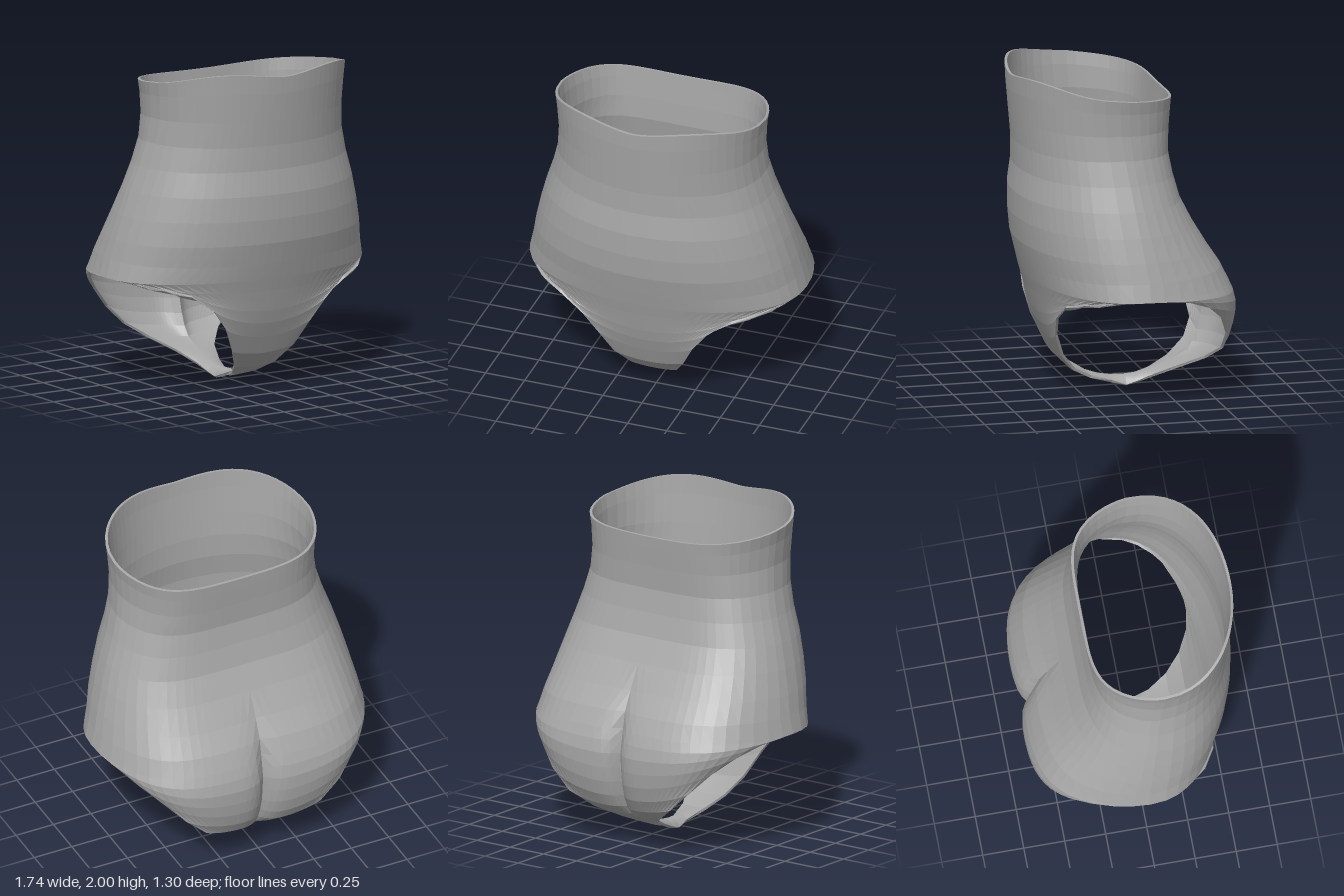
import * as THREE from 'three';
import { mergeVertices } from 'three/addons/utils/BufferGeometryUtils.js';

const COLS = 34;
const THICKNESS = 0.016;

// Torso rings: side seam [y, x, z], front centre [y, z], back centre [y, z], cleft depth
const torso = [
  [1.92, 0.655, 0.13, 1.97, 0.65, 1.86, -0.275, 0],
  [1.84, 0.643, 0.13, 1.87, 0.645, 1.79, -0.27, 0],
  [1.7, 0.635, 0.12, 1.71, 0.63, 1.67, -0.26, 0],
  [1.55, 0.65, 0.1, 1.55, 0.615, 1.53, -0.253, 0],
  [1.4, 0.69, 0.08, 1.4, 0.612, 1.39, -0.278, 0],
  [1.25, 0.74, 0.06, 1.25, 0.63, 1.25, -0.315, 0],
  [1.1, 0.783, 0.04, 1.1, 0.627, 1.1, -0.39, 0],
  [0.95, 0.82, 0.02, 0.95, 0.61, 0.95, -0.48, 0.015],
  [0.83, 0.845, 0.0, 0.82, 0.577, 0.83, -0.56, 0.04],
  [0.72, 0.87, 0.0, 0.72, 0.55, 0.73, -0.61, 0.07],
];

// Rows below the hip: leg edge [x, y, z], centre [y, z], arc angle, cleft depth
const frontLeg = [
  [0.8, 0.705, 0.235, 0.64, 0.527, 1.17, 0],
  [0.68, 0.685, 0.355, 0.575, 0.51, 0.9, 0],
  [0.54, 0.65, 0.435, 0.51, 0.493, 0.8, 0],
  [0.4, 0.54, 0.465, 0.43, 0.468, 0.8, 0],
  [0.3, 0.41, 0.445, 0.34, 0.432, 0.8, 0],
  [0.22, 0.26, 0.385, 0.23, 0.385, 0.8, 0],
  [0.145, 0.145, 0.29, 0.13, 0.285, 0.8, 0],
  [0.085, 0.075, 0.17, 0.07, 0.165, 0.8, 0],
  [0.048, 0.03, 0.03, 0.052, 0.03, 0.8, 0],
  [0.048, 0.005, -0.06, 0.05, -0.06, 0.8, 0],
];
const backLeg = [
  [0.86, 0.715, -0.11, 0.66, -0.638, 1.43, 0.085],
  [0.82, 0.695, -0.25, 0.58, -0.656, 1.24, 0.09],
  [0.745, 0.635, -0.395, 0.49, -0.656, 1.1, 0.095],
  [0.64, 0.54, -0.5, 0.4, -0.646, 1, 0.095],
  [0.51, 0.405, -0.57, 0.31, -0.622, 0.95, 0.095],
  [0.38, 0.285, -0.575, 0.235, -0.58, 0.9, 0.085],
  [0.25, 0.195, -0.5, 0.175, -0.5, 0.9, 0.05],
  [0.135, 0.12, -0.37, 0.13, -0.375, 0.8, 0.01],
  [0.077, 0.06, -0.23, 0.08, -0.23, 0.8, 0],
  [0.055, 0.022, -0.13, 0.055, -0.13, 0.8, 0],
  [0.048, 0.005, -0.06, 0.05, -0.06, 0.8, 0],
];

// Depth of the cross-section at a relative width t: rounded belly, flatter back
const depth = (t, isBack) => (isBack
  ? Math.max(0, 1 - Math.abs(t) ** 4.5) ** 0.62
  : Math.max(0, 1 - t * t) ** 0.44);

// One half of the garment: arcs stacked from the waist to the crotch
function addPanel(rows, isBack, positions, indices) {
  const base = positions.length / 3;
  rows.forEach(([ex, ey, ez, cy, cz, arc, cleft], j) => {
    const edgeT = Math.sin(arc), edgeDepth = depth(edgeT, isBack);
    for (let i = 0; i <= COLS; i++) {
      // Columns gather towards the middle
      const s = (i / COLS) * 2 - 1, u = s * (0.7 + 0.3 * s * s);
      const t = Math.sin(u * arc), x = (ex * t) / edgeT;
      const rise = (Math.cos(u * arc) - Math.cos(arc)) / (1 - Math.cos(arc));
      let y = ey + (cy - ey) * rise;
      // Waistband rises in two gentle waves at the front
      if (!isBack && j < 2) y += (j ? 0.02 : 0.04) * Math.sin(Math.PI * Math.abs(u) ** 0.8) ** 2;
      const f = (depth(t, isBack) - edgeDepth) / (1 - edgeDepth);
      const z = ez + (cz - ez) * f + cleft * Math.exp(-Math.abs(x) / 0.06);
      positions.push(x, y, i % COLS ? z : ez);
      if (j && i) {
        const d = base + j * (COLS + 1) + i;
        const c = d - 1, b = d - COLS - 1, a = b - 1;
        // Mirrored diagonals keep left and right symmetric
        const tris = s <= 0 ? [a, c, b, b, c, d] : [a, c, d, a, d, b];
        indices.push(...(isBack ? tris.reverse() : tris));
      }
    }
  });
}

// Offset the skin inward and close its open edges with a rim
function thicken(skin) {
  skin.computeVertexNormals();
  const p = skin.attributes.position, n = skin.attributes.normal;
  const outer = Array.from(skin.index.array), count = p.count;
  const positions = Array.from(p.array), indices = [...outer], edges = new Map();
  for (let i = 0; i < count; i++) {
    positions.push(
      p.getX(i) - n.getX(i) * THICKNESS,
      p.getY(i) - n.getY(i) * THICKNESS,
      p.getZ(i) - n.getZ(i) * THICKNESS);
  }
  for (let t = 0; t < outer.length; t += 3) {
    const tri = outer.slice(t, t + 3);
    indices.push(tri[0] + count, tri[2] + count, tri[1] + count);
    tri.forEach((a, k) => edges.set(`${a},${tri[(k + 1) % 3]}`, [a, tri[(k + 1) % 3]]));
  }
  for (const [a, b] of edges.values()) {
    if (!edges.has(`${b},${a}`)) indices.push(b, a, a + count, b, a + count, b + count);
  }
  const shell = new THREE.BufferGeometry();
  shell.setAttribute('position', new THREE.Float32BufferAttribute(positions, 3));
  shell.setIndex(indices);
  shell.computeVertexNormals();
  return shell;
}

export function createModel() {
  const group = new THREE.Group();
  group.name = 'highWaistBriefs';

  const fabric = new THREE.MeshStandardMaterial({ color: 0xa6a6a6, flatShading: true, side: THREE.DoubleSide });
  fabric.name = 'grey fabric';

  const half = Math.PI / 2;
  const frontRows = torso.map(([y, x, z, fy, fz]) => [x, y, z, fy, fz, half, 0]);
  const backRows = torso.map(([y, x, z, , , by, bz, cleft]) => [x, y, z, by, bz, half, cleft]);

  // Front and back panels joined at the side seams and crotch
  const positions = [], indices = [];
  addPanel([...frontRows, ...frontLeg], false, positions, indices);
  addPanel([...backRows, ...backLeg], true, positions, indices);
  const skin = new THREE.BufferGeometry();
  skin.setAttribute('position', new THREE.Float32BufferAttribute(positions, 3));
  skin.setIndex(indices);

  const briefs = new THREE.Mesh(thicken(mergeVertices(skin, 1e-4)), fabric);
  briefs.name = 'fabricShell';
  group.add(briefs);
  return group;
}
